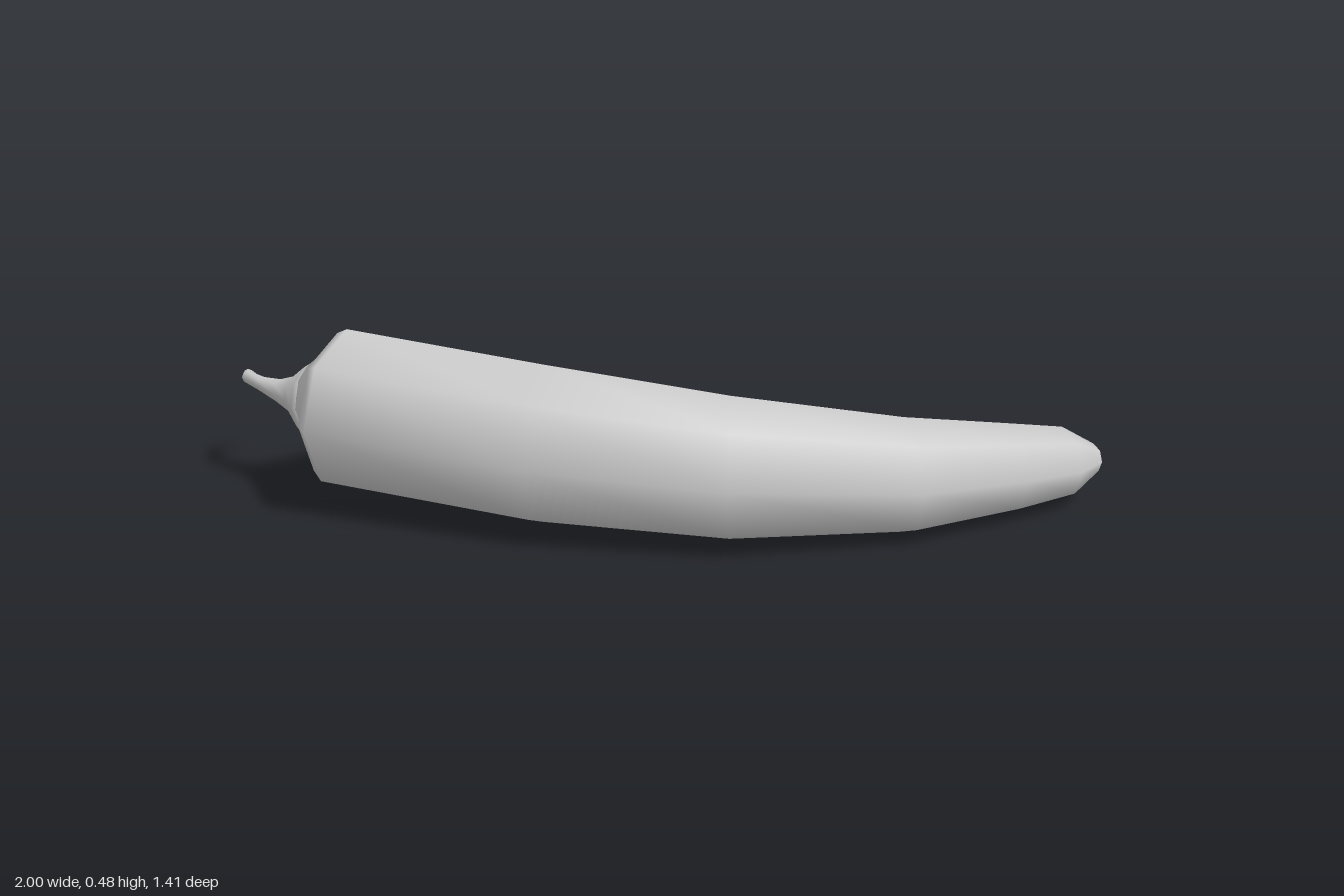
import * as THREE from 'three';

const SIDES = 8;

// Lofts eight-sided rings. Each ring: [innerX, innerZ, outerX, outerZ, centreY, verticalRadius]
function loft(rings) {
  const pos = [], index = [];
  for (const [ix, iz, ox, oz, y, r] of rings) {
    for (let j = 0; j < SIDES; j++) {
      const a = (j / SIDES) * Math.PI * 2, c = Math.cos(a) / 2;
      pos.push((ix + ox) / 2 + (ix - ox) * c, y + r * Math.sin(a), (iz + oz) / 2 + (iz - oz) * c);
    }
  }
  const n = rings.length;
  for (let i = 0; i < n - 1; i++) {
    for (let j = 0; j < SIDES; j++) {
      const a = i * SIDES + j, b = i * SIDES + (j + 1) % SIDES;
      index.push(a, a + SIDES, b, b, a + SIDES, b + SIDES);
    }
  }
  // Close both ends with a fan
  for (const end of [0, n - 1]) {
    const [ix, iz, ox, oz, y] = rings[end];
    const centre = pos.length / 3;
    pos.push((ix + ox) / 2, y, (iz + oz) / 2);
    for (let j = 0; j < SIDES; j++) {
      const a = end * SIDES + j, b = end * SIDES + (j + 1) % SIDES;
      if (end === 0) index.push(centre, a, b);
      else index.push(centre, b, a);
    }
  }
  const geo = new THREE.BufferGeometry();
  geo.setAttribute('position', new THREE.Float32BufferAttribute(pos, 3));
  geo.setIndex(index);
  geo.computeVertexNormals();
  return geo;
}

export function createModel() {
  const group = new THREE.Group();
  group.name = 'chiliPepper';
  const material = new THREE.MeshStandardMaterial({ color: 0xcccccc });
  const add = (name, rings) => {
    const mesh = new THREE.Mesh(loft(rings), material);
    mesh.name = name;
    group.add(mesh);
  };

  // Curved fruit, from the blunt tip to the shoulder and the shallow cap
  add('pepperBody', [
    [1.00, 0.51, 1.00, 0.59, 0.11, 0.04],
    [0.89, 0.45, 0.89, 0.65, 0.117, 0.097],
    [0.70, 0.425, 0.70, 0.675, 0.13, 0.122],
    [0.42, 0.395, 0.36, 0.70, 0.157, 0.155],
    [0.06, 0.25, -0.13, 0.575, 0.20, 0.19],
    [-0.29, -0.05, -0.55, 0.29, 0.234, 0.212],
    [-0.62, -0.44, -0.96, -0.16, 0.263, 0.217],
    [-0.65, -0.465, -0.96, -0.21, 0.265, 0.197],
    [-0.72, -0.455, -0.93, -0.265, 0.27, 0.145],
    [-0.82, -0.465, -0.94, -0.33, 0.277, 0.085],
  ]);

  // Calyx narrowing into a thin hooked stem
  add('stem', [
    [-0.76, -0.455, -0.932, -0.285, 0.272, 0.12],
    [-0.82, -0.468, -0.942, -0.335, 0.277, 0.085],
    [-0.865, -0.473, -0.94, -0.40, 0.28, 0.05],
    [-0.90, -0.49, -0.955, -0.455, 0.283, 0.033],
    [-0.945, -0.535, -0.982, -0.52, 0.293, 0.02],
    [-0.967, -0.60, -1.00, -0.60, 0.296, 0.017],
    [-0.955, -0.645, -0.98, -0.66, 0.287, 0.016],
    [-0.935, -0.672, -0.955, -0.69, 0.268, 0.013],
    [-0.902, -0.695, -0.91, -0.71, 0.24, 0.01],
  ]);
  return group;
}
